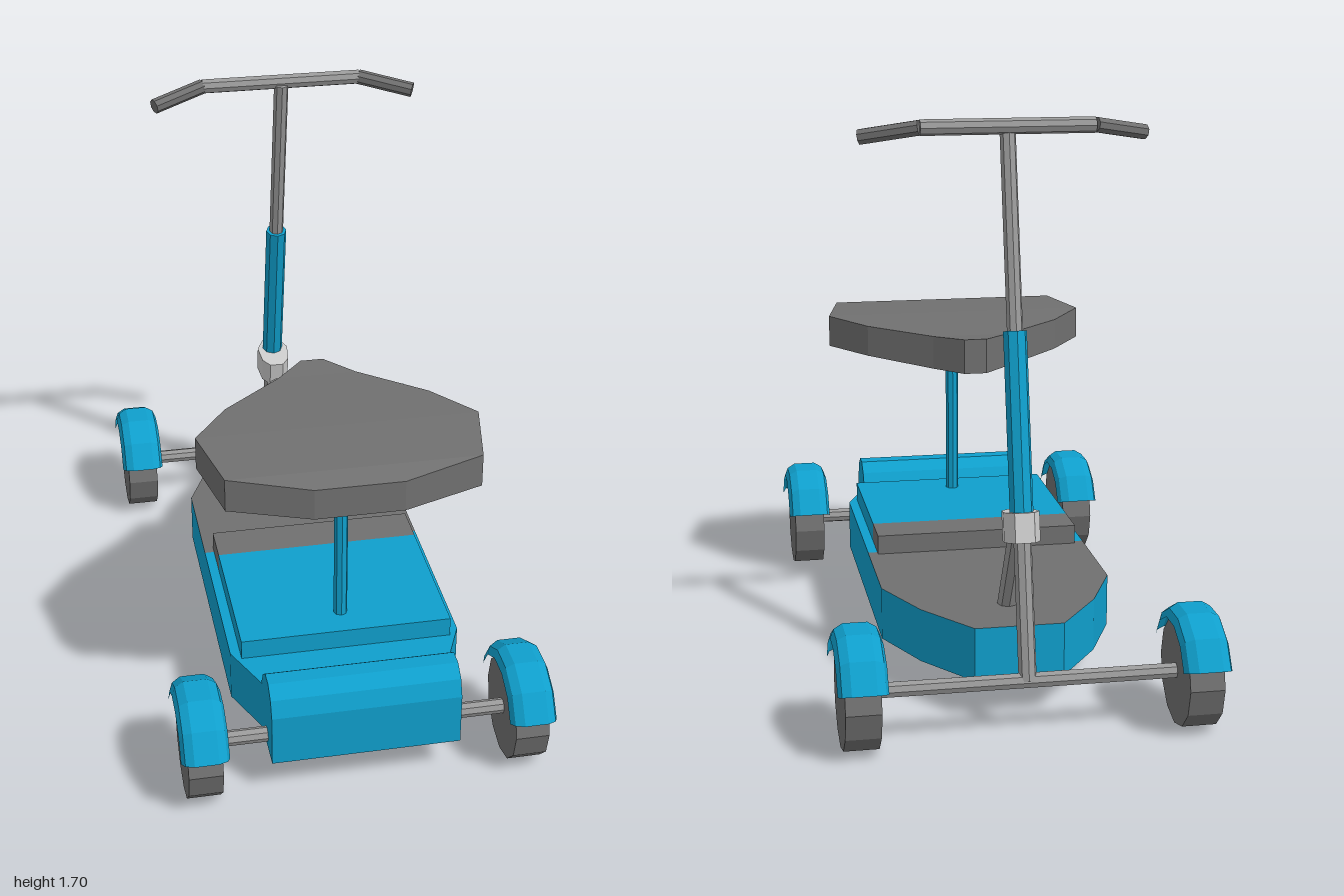
import * as THREE from 'three';

const mat = (color) => new THREE.MeshStandardMaterial({ color, flatShading: true, side: THREE.DoubleSide });
const blue = mat(0x0f9fcc), dark = mat(0x707070), steel = mat(0x999999), light = mat(0xcccccc);
const V = (x, y, z) => new THREE.Vector3(x, y, z);

export function createModel() {
  const model = new THREE.Group();
  const add = (name, geo, material) => {
    const m = new THREE.Mesh(geo, material);
    m.name = name;
    model.add(m);
    return m;
  };

  // Straight round bar between two points
  const rod = (name, a, b, r, material, sides = 8) => {
    const m = add(name, new THREE.CylinderGeometry(r, r, a.distanceTo(b), sides), material);
    m.position.copy(a).add(b).multiplyScalar(0.5);
    m.quaternion.setFromUnitVectors(V(0, 1, 0), b.clone().sub(a).normalize());
    return m;
  };

  // Strip of quads between two matching polylines
  const strip = (p, q) => {
    const pos = [];
    for (let i = 0; i < p.length - 1; i++) {
      for (const v of [p[i], q[i], q[i + 1], p[i], q[i + 1], p[i + 1]]) pos.push(v.x, v.y, v.z);
    }
    const g = new THREE.BufferGeometry();
    g.setAttribute('position', new THREE.Float32BufferAttribute(pos, 3));
    g.computeVertexNormals();
    return g;
  };

  // Flat horizontal panel from [x, z] corners
  const panel = (pts, y) => {
    const shape = new THREE.Shape(pts.map(([x, z]) => new THREE.Vector2(x, -z)));
    return new THREE.ShapeGeometry(shape).rotateX(-Math.PI / 2).translate(0, y, 0);
  };
  const mirrorX = (pts) => [...pts, ...pts.map(([x, ...r]) => [-x, ...r]).reverse()];

  // Hollow deck, open below
  const outline = mirrorX([[0.28, 0.73], [0.35, 0.57], [0.35, -0.32], [0.26, -0.52], [0.13, -0.7]]);
  add('deckWalls', strip(outline.map(([x, z]) => V(x, 0.12, z)), outline.map(([x, z]) => V(x, 0.28, z))), blue);
  const split = 0.02;
  add('deckTopRear', panel(mirrorX([[0.28, 0.73], [0.35, 0.57], [0.35, split]]), 0.28), blue);
  add('deckTopFootrest', panel(mirrorX([[0.35, split], [0.35, -0.32], [0.26, -0.52], [0.13, -0.7]]), 0.28), dark);

  // Raised plate on the deck
  add('raisedPlate', new THREE.BoxGeometry(0.64, 0.065, 0.47).translate(0, 0.3075, 0.365), blue);
  add('raisedPlateFront', new THREE.BoxGeometry(0.64, 0.065, 0.13).translate(0, 0.3075, 0.065), dark);

  // Rounded hollow housing over the rear axle
  const profile = [[0.9, 0.12], [0.9, 0.28], [0.88, 0.33], [0.84, 0.36], [0.79, 0.36], [0.75, 0.33], [0.72, 0.28]];
  add('rearHousingShell',
    strip(profile.map(([z, y]) => V(0.28, y, z)), profile.map(([z, y]) => V(-0.28, y, z))), blue);
  const cap = new THREE.Shape([...profile, [0.72, 0.12]].map(([z, y]) => new THREE.Vector2(-z, y)));
  for (const s of [-1, 1]) {
    add('rearHousingSide', new THREE.ShapeGeometry(cap).rotateY(Math.PI / 2).translate(s * 0.28, 0, 0), blue);
  }

  // Axles, wheels and mudguards
  const guardSection = [[0.158, -0.07], [0.182, -0.06], [0.197, -0.035], [0.197, 0.035], [0.182, 0.06], [0.158, 0.07]]
    .map(([r, h]) => new THREE.Vector2(r, h));
  const start = THREE.MathUtils.degToRad(20), sweep = THREE.MathUtils.degToRad(140);
  for (const z of [-0.812, 0.812]) {
    rod(z < 0 ? 'frontAxle' : 'rearAxle', V(-0.46, 0.16, z), V(0.46, 0.16, z), 0.023, steel);
    for (const x of [-0.48, 0.48]) {
      const wheel = new THREE.CylinderGeometry(0.155, 0.155, 0.1, 12).rotateZ(Math.PI / 2);
      add('wheel', wheel.translate(x, 0.155, z), dark);
      // Lathe axis y becomes x; its start angle sweeps over the top of the wheel
      const guard = new THREE.LatheGeometry(guardSection, 5, start, sweep);
      guard.rotateZ(Math.PI / 2);
      add('mudguard', guard.translate(x, 0.155, z), blue);
    }
  }

  // Seat: outline with top and bottom heights, [x, z, top, bottom]
  const rim = mirrorX([[0.035, 0.03, 0.96, 0.85], [0.12, 0.12, 0.955, 0.85], [0.31, 0.29, 0.96, 0.862],
    [0.42, 0.45, 0.965, 0.865], [0.37, 0.69, 0.963, 0.862], [0.13, 0.76, 0.945, 0.85]]);
  const top = rim.map(([x, z, t]) => V(x, t, z));
  const bottom = rim.map(([x, z, , b]) => V(x, b, z));
  const close = (p) => [...p, p[0]];
  add('seatSide', strip(close(bottom), close(top)), dark);
  const half = rim.length / 2;
  for (const [name, p] of [['seatTop', top], ['seatUnderside', bottom]]) {
    const right = p.slice(0, half), left = p.slice(half).reverse();
    add(name, strip(right, left), dark);
  }
  rod('seatPost', V(0, 0.25, 0.5), V(0, 0.9, 0.5), 0.021, blue);

  // Steering column leaning back along one line
  const onColumn = (y) => V(0, y, -0.605 + 0.217 * (y - 1.12));
  rod('lowerStem', onColumn(0.16), onColumn(0.6), 0.026, steel);
  rod('columnSleeve', onColumn(0.58), onColumn(1.12), 0.034, blue);
  rod('upperStem', onColumn(1.1), onColumn(1.675), 0.023, steel);
  rod('brace', V(0, 0.565, -0.68), V(0, 0.27, -0.5), 0.03, steel);

  // Collar joining column and brace
  const collarShape = new THREE.Shape(
    mirrorX([[0.028, 0.07], [0.052, 0.025], [0.045, -0.04], [0.022, -0.07]]).map(([x, y]) => new THREE.Vector2(x, y)));
  const collar = new THREE.ExtrudeGeometry(collarShape, { depth: 0.085, bevelEnabled: false });
  collar.translate(0, 0, -0.0425).rotateX(-Math.PI / 2).rotateX(Math.atan(0.217));
  add('collar', collar.translate(0, 0.577, -0.695), light);

  // Handlebar with swept ends
  const bend = (s) => V(s * 0.25, 1.68, -0.495);
  rod('handlebar', bend(-1), bend(1), 0.023, steel);
  for (const s of [-1, 1]) rod('handleGrip', bend(s), V(s * 0.41, 1.65, -0.425), 0.023, dark);

  return model;
}
